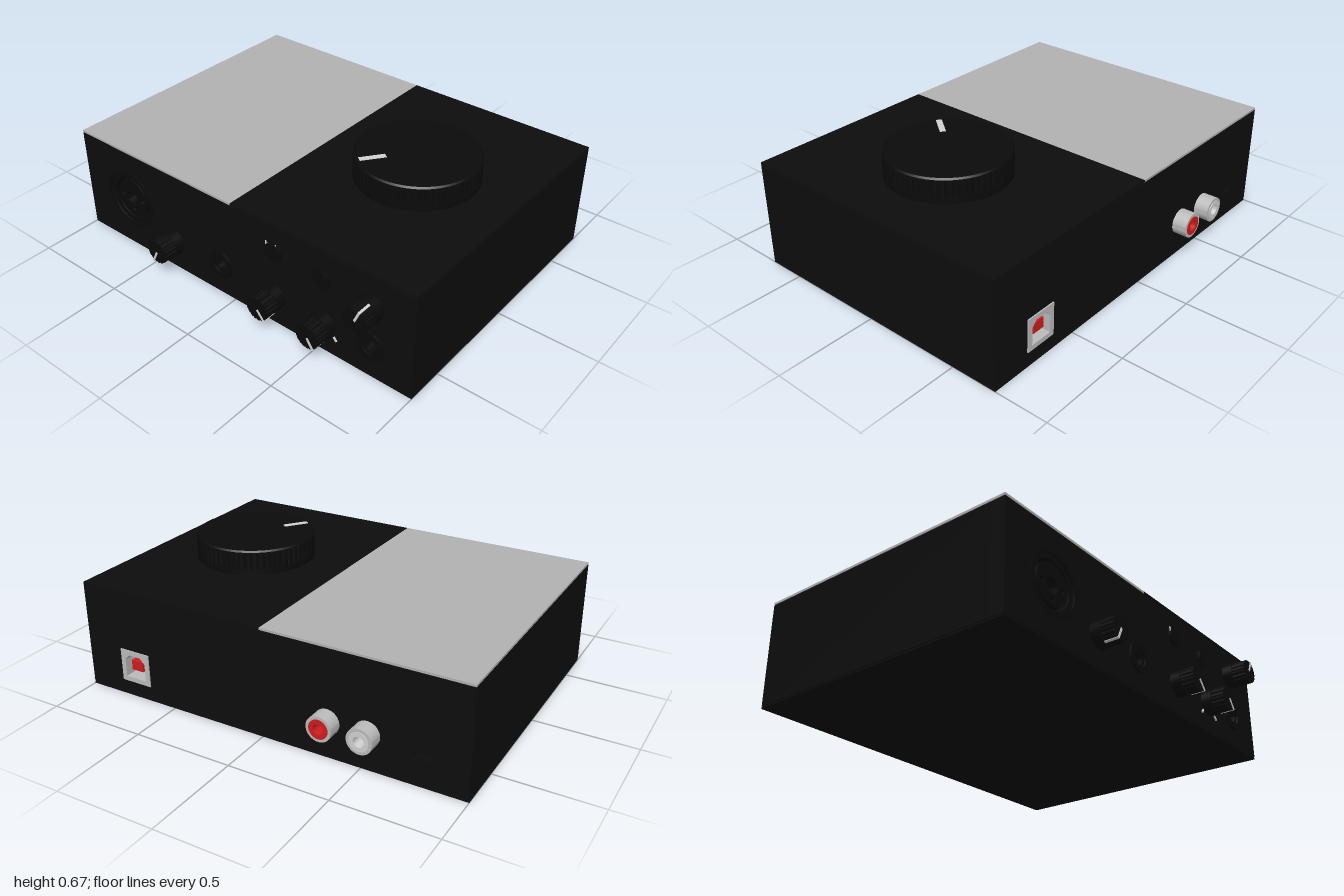
import * as THREE from 'three';
import { toCreasedNormals } from 'three/addons/utils/BufferGeometryUtils.js';

export function createModel() {
  const mat = (name, color) => {
    const m = new THREE.MeshStandardMaterial({ color });
    m.name = name;
    return m;
  };
  const black = mat('case black', 0x0d0d0d);
  const dark = mat('knob black', 0x0a0a0a);
  const grey = mat('top plate grey', 0xb2b2b2);
  const light = mat('marking light grey', 0xd2d2d2);
  const metal = mat('connector grey', 0xbcbcbc);
  const red = mat('red', 0xd01c1c);

  const model = new THREE.Group();
  const add = (name, geo, material, x = 0, y = 0, z = 0, parent = model) => {
    const mesh = new THREE.Mesh(geo, material);
    mesh.name = name;
    mesh.position.set(x, y, z);
    parent.add(mesh);
    return mesh;
  };
  const box = (w, h, d) => new THREE.BoxGeometry(w, h, d);
  const disc = (r, d) => new THREE.CylinderGeometry(r, r, d, 40).rotateX(Math.PI / 2);
  const extrude = (shape, depth) => toCreasedNormals(
    new THREE.ExtrudeGeometry(shape, { depth, bevelEnabled: false, curveSegments: 24 }), 0.5);
  const circlePath = (x, y, r) => new THREE.Path().absarc(x, y, r, 0, Math.PI * 2, true);
  const rect = (x, y, w, h, Kind = THREE.Path) => new Kind([
    [-1, -1], [1, -1], [1, 1], [-1, 1]
  ].map(([a, b]) => new THREE.Vector2(x + a * w / 2, y + b * h / 2)));
  const ring = (outer, inner, depth) => {
    const s = new THREE.Shape().absarc(0, 0, outer, 0, Math.PI * 2, false);
    s.holes.push(circlePath(0, 0, inner));
    return extrude(s, depth);
  };
  // Round grip with n shallow flutes
  const fluted = (r, n, cut, depth) => {
    const pts = [];
    for (let i = 0; i < n * 4; i++) {
      const a = i / (n * 4) * Math.PI * 2, q = i % 4 === 0 ? r - cut : r;
      pts.push(new THREE.Vector2(Math.cos(a) * q, Math.sin(a) * q));
    }
    return extrude(new THREE.Shape(pts), depth);
  };

  // Case: core, front and back panels with openings, thin covers
  const FRONT = 0.69, BACK = -0.735, MID = (FRONT + BACK) / 2, DEPTH = FRONT - BACK, WALL = 0.075;
  const panel = holes => {
    const s = rect(0, 0.271, 2, 0.518, THREE.Shape);
    s.holes.push(...holes);
    return extrude(s, WALL);
  };
  const jacks = [[-0.08, 0.17], [0.785, 0.17]];
  const xlr = [-0.69, 0.27];
  const usb = [0.72, 0.16];
  add('caseSides', box(2, 0.518, DEPTH - WALL * 2), black, 0, 0.271, MID);
  add('frontPanel', panel([circlePath(...xlr, 0.14), ...jacks.map(j => circlePath(...j, 0.045))]),
    black, 0, 0, FRONT - WALL);
  add('backPanel', panel([rect(...usb, 0.15, 0.15), rect(-0.79, 0.15, 0.09, 0.03)]), black, 0, 0, BACK);
  add('seamCore', box(1.98, 0.53, DEPTH - WALL * 2), black, 0, 0.271, MID);
  add('bottomCover', box(2, 0.008, DEPTH), black, 0, 0.004, MID);
  add('topCoverDark', box(1, 0.011, DEPTH), black, 0.5, 0.5385, MID);
  add('topCoverGrey', box(1, 0.011, DEPTH), grey, -0.5, 0.5385, MID);
  for (const z of [FRONT - 0.04, BACK + 0.04])
    for (const y of [0.01, 0.531]) add('seamFiller', box(1.98, 0.008, 0.07), black, 0, y, z);

  // Large volume dial
  const dial = new THREE.Group();
  dial.name = 'volumeDial';
  dial.position.set(0.5, 0.544, -0.02);
  model.add(dial);
  add('dialBase', new THREE.CylinderGeometry(0.296, 0.296, 0.03, 72), dark, 0, 0.015, 0, dial);
  add('dialGrip', fluted(0.295, 60, 0.006, 0.085).rotateX(-Math.PI / 2), dark, 0, 0.03, 0, dial);
  add('dialTop', new THREE.CylinderGeometry(0.288, 0.295, 0.008, 72), dark, 0, 0.119, 0, dial);
  add('dialMark', box(0.125, 0.004, 0.028), light, -0.128, 0.1235, 0.172, dial)
    .rotation.y = Math.atan2(0.1, 0.075);

  // Small front knobs: position and pointer direction
  const knobs = [
    [-0.39, 0.155, -0.027, -0.054], [0.25, 0.155, 0.035, -0.045],
    [0.535, 0.155, 0.032, -0.05], [0.785, 0.385, 0.022, 0.05]
  ];
  for (const [x, y, dx, dy] of knobs) {
    const knob = new THREE.Group();
    knob.name = 'frontKnob';
    knob.position.set(x, y, FRONT);
    knob.rotation.z = Math.atan2(dy, dx);
    model.add(knob);
    add('knobSkirt', disc(0.063, 0.05), dark, 0, 0, 0.025, knob);
    add('knobGrip', fluted(0.06, 18, 0.004, 0.068), dark, 0, 0, 0.05, knob);
    add('pointerFace', box(0.058, 0.011, 0.004), light, 0.032, 0, 0.119, knob);
    add('pointerSide', box(0.006, 0.011, 0.07), light, 0.0605, 0, 0.086, knob);
  }

  // Headphone and instrument sockets
  for (const [x, y] of jacks) {
    add('jackCollar', ring(0.073, 0.045, 0.012), dark, x, y, FRONT);
    add('jackSleeve', ring(0.045, 0.032, 0.07), dark, x, y, FRONT - 0.07);
  }

  // Combined microphone socket
  add('micRim', ring(0.155, 0.135, 0.004), dark, ...xlr, FRONT);
  add('micSleeve', ring(0.14, 0.115, 0.06), dark, ...xlr, FRONT - 0.07);
  const core = new THREE.Shape().absarc(0, 0, 0.1, 0, Math.PI * 2, false);
  core.holes.push(circlePath(0, 0, 0.036));
  for (const a of [0, Math.PI, -Math.PI / 2])
    core.holes.push(circlePath(Math.cos(a) * 0.067, Math.sin(a) * 0.067, 0.014));
  add('micInsert', extrude(core, 0.06), dark, ...xlr, FRONT - 0.07);

  // Flat push buttons
  for (const [x, y] of [[0.25, 0.405], [0.52, 0.39]]) {
    add('buttonRim', ring(0.054, 0.046, 0.004), dark, x, y, FRONT);
    add('buttonCap', disc(0.043, 0.012), dark, x, y, FRONT + 0.004);
  }

  // Printed ticks
  for (const [x, y, a] of [[0.214, 0.433, 0], [0.267, 0.433, 0], [0.475, 0.098, -0.7], [0.597, 0.098, 0.7]])
    add('panelTick', box(0.009, 0.024, 0.006), light, x, y, FRONT + 0.003).rotation.z = a;

  // Rear audio outputs
  for (const [x, lining] of [[-0.335, red], [-0.53, light]]) {
    add('outputBarrel', ring(0.062, 0.046, 0.073), metal, x, 0.18, BACK - 0.073);
    add('outputLining', ring(0.047, 0.026, 0.076), lining, x, 0.18, BACK - 0.076);
    add('outputPin', disc(0.026, 0.02), dark, x, 0.18, BACK - 0.01);
  }

  // Rear data port
  const frame = rect(0, 0, 0.165, 0.165, THREE.Shape);
  frame.holes.push(new THREE.Path([
    [-0.058, -0.058], [0.058, -0.058], [0.058, 0.03], [0.032, 0.058], [-0.032, 0.058], [-0.058, 0.03]
  ].map(p => new THREE.Vector2(...p))));
  add('portFrame', extrude(frame, 0.008), metal, ...usb, BACK - 0.006);
  const liner = rect(0, 0, 0.15, 0.15, THREE.Shape);
  liner.holes.push(...frame.holes);
  add('portLiner', extrude(liner, 0.07), metal, ...usb, BACK);
  add('portTongue', box(0.066, 0.05, 0.065), red, usb[0], usb[1] + 0.002, BACK + 0.042);

  return model;
}
